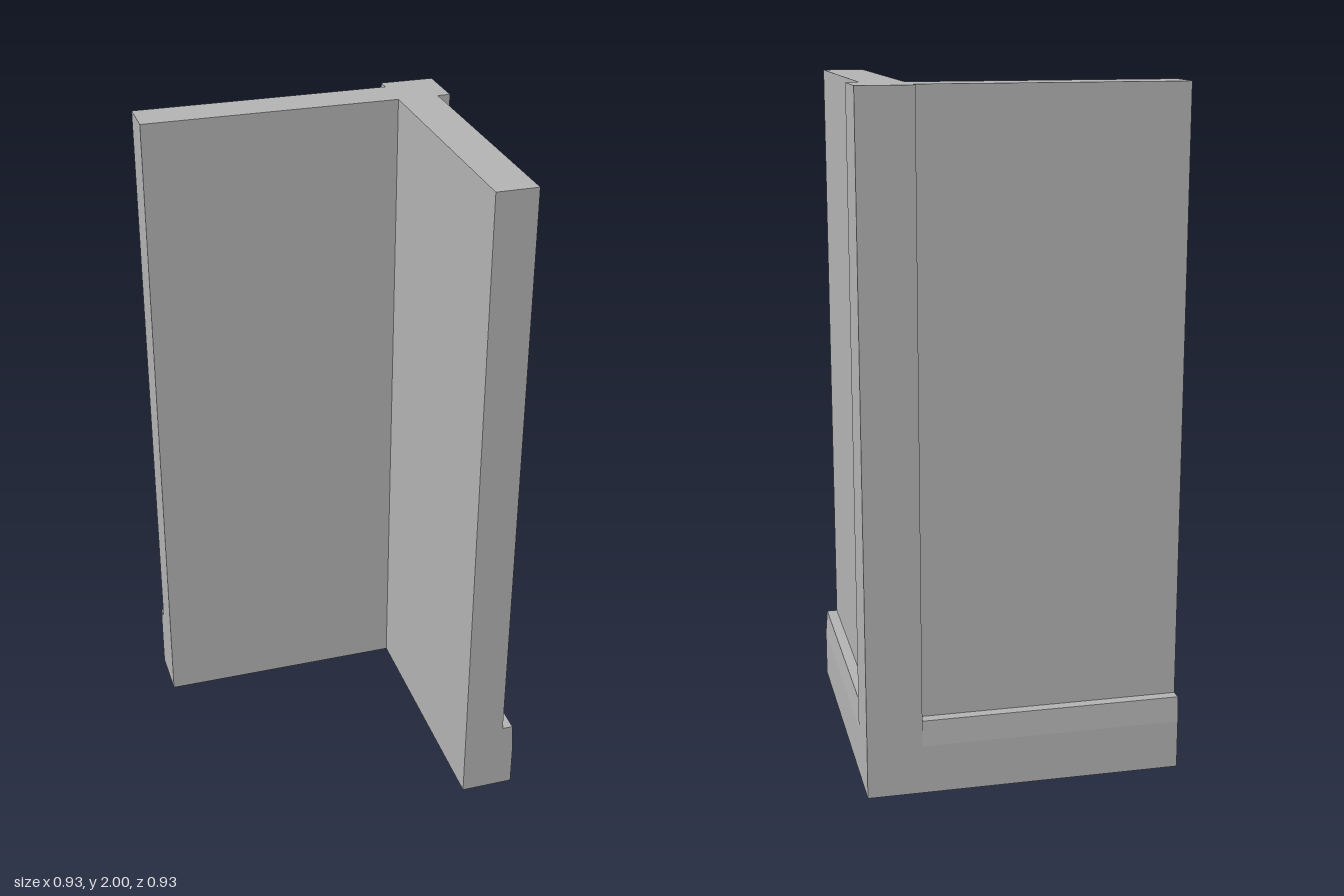
import * as THREE from 'three';

const OUT = 0.463;        // outer face of post and skirting
const IN = 0.303;         // inner face of the walls
const RECESS = 0.425;     // outer face of the recessed panel
const HEIGHT = 2;

export function createModel() {
  const model = new THREE.Group();
  model.name = 'cornerWall';
  const plaster = new THREE.MeshStandardMaterial({ color: 0xb2b2b2 });
  plaster.name = 'grey plaster';

  // square corner post
  const size = OUT - IN;
  const mid = (OUT + IN) / 2;
  const post = new THREE.Mesh(new THREE.BoxGeometry(size, HEIGHT, size), plaster);
  post.name = 'cornerPost';
  post.position.set(mid, HEIGHT / 2, -mid);
  model.add(post);

  // wall section: skirting with a slightly bevelled top edge, then the recessed panel
  const section = new THREE.Shape([
    [IN, 0], [OUT, 0], [OUT, 0.145], [0.457, 0.22],
    [RECESS, 0.22], [RECESS, HEIGHT], [IN, HEIGHT],
  ].map(([x, y]) => new THREE.Vector2(x, y)));
  const length = OUT + IN;
  const wallGeometry = new THREE.ExtrudeGeometry(section, { depth: length, bevelEnabled: false });
  wallGeometry.translate(0, 0, -length / 2);

  // the two walls meet at the post
  const offset = size / 2;
  const sideWall = new THREE.Mesh(wallGeometry, plaster);
  sideWall.name = 'sideWall';
  sideWall.position.z = offset;
  const backWall = new THREE.Mesh(wallGeometry, plaster);
  backWall.name = 'backWall';
  backWall.rotation.y = Math.PI / 2;
  backWall.position.x = -offset;
  model.add(sideWall, backWall);

  return model;
}
